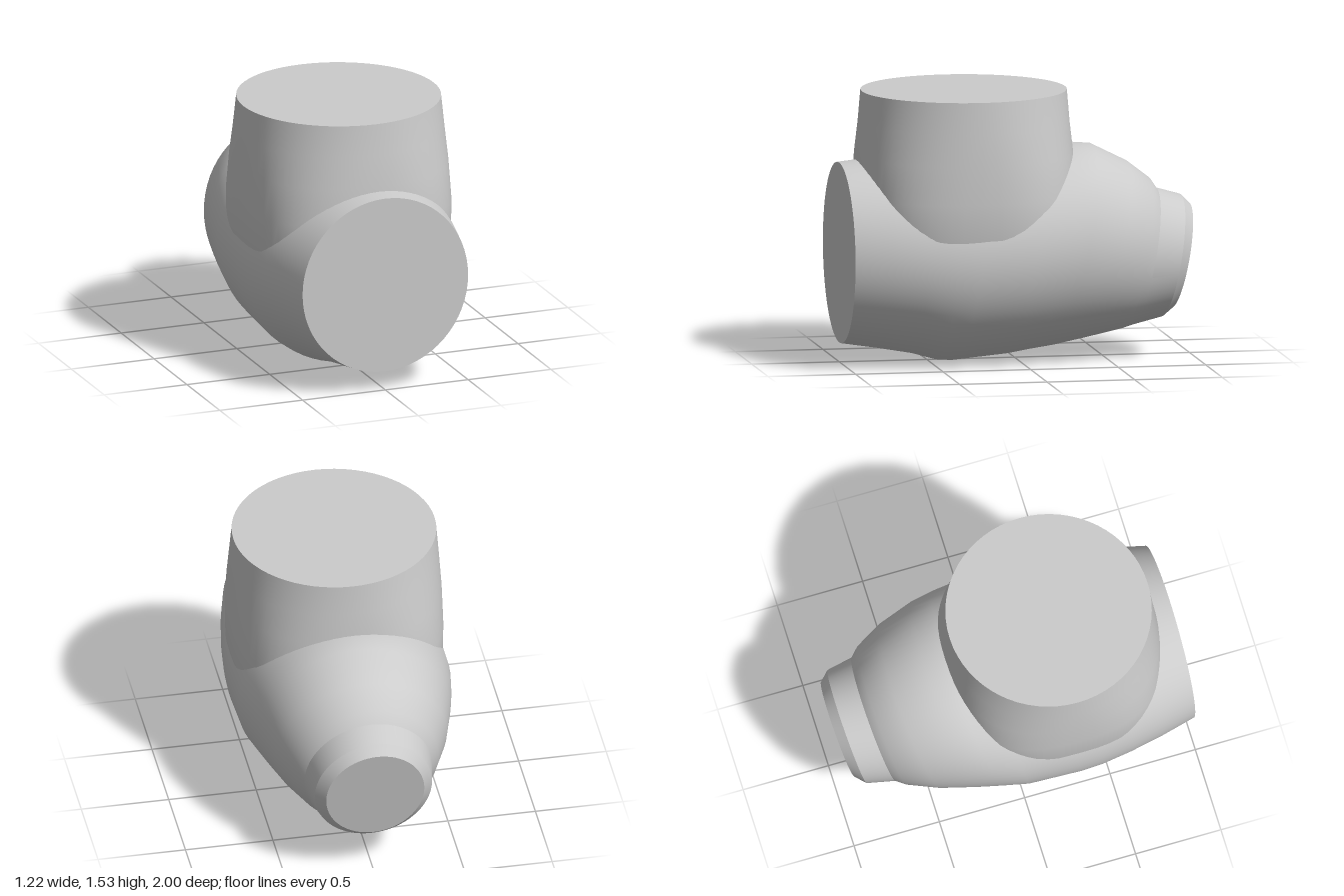
import * as THREE from 'three';
import { toCreasedNormals } from 'three/addons/utils/BufferGeometryUtils.js';

const SEGMENTS = 64;
const material = new THREE.MeshStandardMaterial({ color: 0xcccccc });

// Closed loft through superelliptic rings { c, u, v, n }; u x v points along the loft.
function loft(name, rings) {
  const pos = [], index = [];
  const soft = (t, n) => Math.sign(t) * Math.pow(Math.abs(t), 2 / n);
  for (const { c, u, v, n } of rings) {
    for (let j = 0; j < SEGMENTS; j++) {
      const a = (j / SEGMENTS) * Math.PI * 2;
      const p = c.clone().addScaledVector(u, soft(Math.cos(a), n)).addScaledVector(v, soft(Math.sin(a), n));
      pos.push(p.x, p.y, p.z);
    }
  }
  const last = rings.length - 1;
  const first = pos.length / 3;
  pos.push(...rings[0].c.toArray(), ...rings[last].c.toArray());
  for (let j = 0; j < SEGMENTS; j++) {
    const k = (j + 1) % SEGMENTS;
    for (let i = 0; i < last; i++) {
      const a = i * SEGMENTS, b = a + SEGMENTS;
      index.push(a + j, a + k, b + k, a + j, b + k, b + j);
    }
    index.push(first, k, j, first + 1, last * SEGMENTS + j, last * SEGMENTS + k);
  }
  const geometry = new THREE.BufferGeometry();
  geometry.setAttribute('position', new THREE.Float32BufferAttribute(pos, 3));
  geometry.setIndex(index);
  const mesh = new THREE.Mesh(toCreasedNormals(geometry, 0.45), material);
  mesh.name = name;
  return mesh;
}

export function createModel() {
  const group = new THREE.Group();
  group.name = 'pipeJunction';

  // Horizontal body, tapering to a tilted stub: [top z, top y, bottom z, bottom y, half width]
  const body = [
    [1, 1.13, 1, 0.11, 0.5],
    [0.8, 1.15, 0.8, 0.08, 0.55],
    [0.62, 1.16, 0.6, 0.045, 0.585],
    [0.4, 1.18, 0.46, 0.006, 0.605],
    [0.2, 1.19, 0.38, 0, 0.612],
    [-0.1, 1.2, 0.06, 0.03, 0.608],
    [-0.31, 1.21, -0.06, 0.05, 0.58],
    [-0.44, 1.2, -0.2, 0.07, 0.55],
    [-0.64, 1.1, -0.4, 0.11, 0.49],
    [-0.77, 1.0, -0.6, 0.152, 0.41],
    [-0.81, 0.94, -0.66, 0.17, 0.365],
    [-0.95, 0.9, -0.83, 0.212, 0.335],
    [-1, 0.85, -0.89, 0.26, 0.28],
  ].map(([tz, ty, bz, by, w]) => ({
    c: new THREE.Vector3(0, (ty + by) / 2, (tz + bz) / 2),
    u: new THREE.Vector3(w, 0, 0),
    v: new THREE.Vector3(0, (by - ty) / 2, (bz - tz) / 2),
    n: 2,
  }));
  group.add(loft('body', body));

  // Upright neck, round at the top and squarer at its root: [y, half width, half depth, exponent]
  const neck = [
    [0.6, 0.555, 0.59, 2.7],
    [0.75, 0.594, 0.605, 2.7],
    [0.95, 0.6, 0.612, 2.6],
    [1.17, 0.597, 0.61, 2.3],
    [1.35, 0.588, 0.593, 2.1],
    [1.53, 0.575, 0.58, 2],
  ].map(([y, rx, rz, n]) => ({
    c: new THREE.Vector3(0, y, 0.29),
    u: new THREE.Vector3(0, 0, rz),
    v: new THREE.Vector3(rx, 0, 0),
    n,
  }));
  group.add(loft('neck', neck));

  return group;
}
